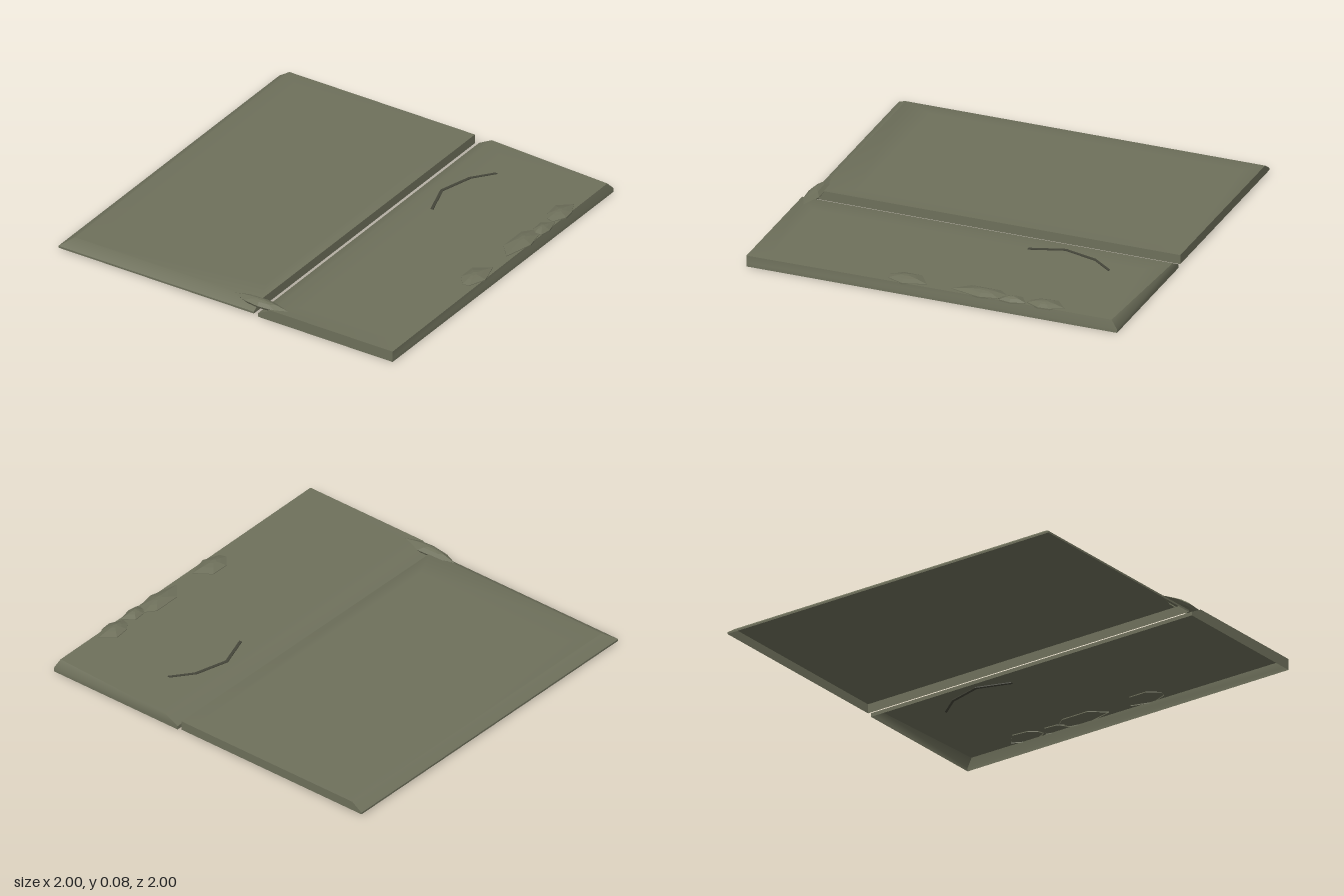
import * as THREE from 'three';
import { toCreasedNormals } from 'three/addons/utils/BufferGeometryUtils.js';

// Joins rings of [x, z] points, each at its own height, and closes the last one
function loft(rings) {
  const n = rings[0].points.length;
  const pos = [];
  const index = [];
  for (const { y, points } of rings) for (const [x, z] of points) pos.push(x, y, z);
  for (let r = 0; r < rings.length - 1; r++) {
    for (let i = 0; i < n; i++) {
      const a = r * n + i;
      const b = r * n + (i + 1) % n;
      index.push(a, b, b + n, a, b + n, a + n);
    }
  }
  const last = (rings.length - 1) * n;
  for (let i = 1; i < n - 1; i++) index.push(last, last + i, last + i + 1);
  const g = new THREE.BufferGeometry();
  g.setAttribute('position', new THREE.Float32BufferAttribute(pos, 3));
  g.setIndex(index);
  return g;
}

const rect = (x0, x1, z0, z1) => [[x0, z0], [x0, z1], [x1, z1], [x1, z0]];

// Shrinks an outline towards its centre
function shrink(points, s) {
  const cx = points.reduce((t, p) => t + p[0], 0) / points.length;
  const cz = points.reduce((t, p) => t + p[1], 0) / points.length;
  return points.map(([x, z]) => [cx + (x - cx) * s, cz + (z - cz) * s]);
}

export function createModel() {
  const group = new THREE.Group();
  const stone = new THREE.MeshStandardMaterial({ color: 0x6e705b, side: THREE.DoubleSide });
  stone.name = 'stone';
  const darkStone = new THREE.MeshStandardMaterial({ color: 0x45463a, side: THREE.DoubleSide });
  darkStone.name = 'dark stone';

  const add = (name, geometry, material = stone) => {
    const mesh = new THREE.Mesh(geometry, material);
    mesh.name = name;
    group.add(mesh);
  };

  // Wide slab: hollow underneath, bevelled along its outer and front edges
  add('wideSlab', toCreasedNormals(loft([
    { y: 0.01, points: rect(-1, 0.17, -1, 1) },
    { y: 0.02, points: rect(-1, 0.17, -1, 1) },
    { y: 0.06, points: rect(-0.94, 0.17, -1, 0.94) },
    { y: 0.06, points: rect(-0.86, 0.1, -0.92, 0.78) },
  ]), 0.8));

  // Narrow slab: hollow underneath, bevelled along the gap, one clipped corner
  add('narrowSlab', toCreasedNormals(loft([
    { y: 0, points: rect(0.195, 1, -1, 1) },
    { y: 0.02, points: rect(0.195, 1, -1, 1) },
    { y: 0.06, points: [[0.27, -1], [0.27, 1], [1, 1], [0.985, -0.965]] },
    { y: 0.06, points: rect(0.38, 0.9, -0.9, 0.9) },
  ]), 0.8));

  // Raised stone chips: a low edge topped by a faceted dome
  const chips = [
    [[0.89, -0.64], [0.9, -0.55], [0.93, -0.51], [0.965, -0.5], [1, -0.57], [0.995, -0.63], [0.96, -0.7]],
    [[0.92, -0.46], [0.925, -0.39], [0.95, -0.36], [0.99, -0.36], [1, -0.42], [0.98, -0.5]],
    [[0.89, -0.33], [0.89, -0.17], [0.96, -0.09], [1, -0.25], [0.98, -0.35], [0.93, -0.38]],
    [[0.88, 0.1], [0.88, 0.2], [0.93, 0.26], [0.965, 0.25], [1, 0.16], [0.965, 0.04]],
    [[0.02, 0.95], [0.1, 0.985], [0.19, 0.998], [0.29, 0.99], [0.36, 0.96], [0.24, 0.92], [0.08, 0.925]],
  ];
  chips.forEach((outline, i) => {
    const front = i === 4;
    const g = loft([
      { y: front ? 0.045 : 0.055, points: shrink(outline, front ? 0.8 : 1) },
      { y: front ? 0.058 : 0.063, points: outline },
      { y: 0.074, points: shrink(outline, 0.55) },
      { y: 0.08, points: shrink(outline, 0.2) },
    ]).toNonIndexed();
    g.computeVertexNormals();
    add(front ? 'frontChip' : `edgeChip${i + 1}`, g);
  });

  // Thin crack across the narrow slab
  const path = [[0.47, -0.74], [0.385, -0.63], [0.335, -0.45], [0.395, -0.27]];
  const side = (w) => path.map(([x, z]) => new THREE.Vector2(x + w, z));
  const crack = new THREE.ExtrudeGeometry(
    new THREE.Shape([...side(-0.008), ...side(0.008).reverse()]),
    { depth: 0.009, bevelEnabled: false },
  );
  crack.rotateX(Math.PI / 2).translate(0, 0.064, 0);
  add('crack', crack, darkStone);

  return group;
}
